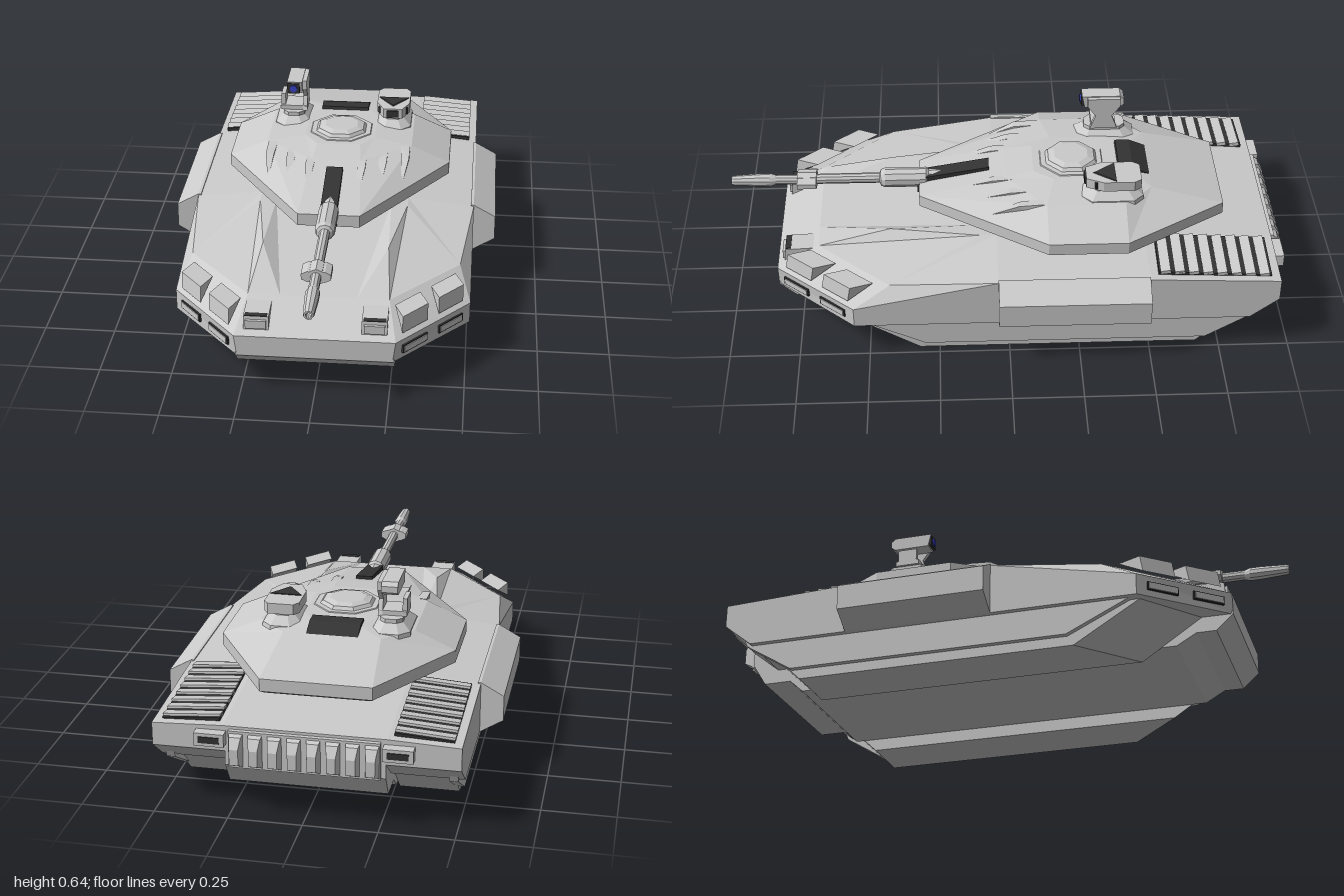
import * as THREE from 'three';
import { ConvexGeometry } from 'three/addons/geometries/ConvexGeometry.js';

const mat = (color) => new THREE.MeshStandardMaterial({ color, flatShading: true, roughness: 0.8 });
const grey = mat(0xcccccc), dark = mat(0x333333), blue = mat(0x3a44cc);

// Skin between stacked rings of [x, y, z], counter-clockwise from above
function loft(rings, notch = false) {
  const v = [];
  const tri = (a, b, c) => v.push(...a, ...b, ...c);
  const quad = (a, b, c, d) => { tri(a, b, c); tri(a, c, d); };
  const n = rings[0].length;
  for (let r = 0; r + 1 < rings.length; r++)
    for (let i = 0; i < n; i++) {
      const j = (i + 1) % n, a = rings[r], b = rings[r + 1];
      if (i >= n / 2) quad(b[i], a[i], a[j], b[j]); // mirrored diagonal
      else quad(a[i], a[j], b[j], b[i]);
    }
  const low = rings[0], top = rings[rings.length - 1];
  for (let i = 0; i < n / 2 - 1; i++) {
    const k = n - 1 - i;
    quad(low[k], low[k - 1], low[i + 1], low[i]);
    if (!notch || i >= 2) quad(top[i], top[i + 1], top[k - 1], top[k]);
  }
  if (notch) {
    tri(top[0], top[1], top[2]);
    tri(top[n - 3], top[n - 2], top[n - 1]);
  }
  const g = new THREE.BufferGeometry();
  g.setAttribute('position', new THREE.Float32BufferAttribute(v, 3));
  g.computeVertexNormals();
  return g;
}
const sym = (half) => [...half, ...half.map(([x, y, z]) => [-x, y, z]).reverse()];
const flip = (ring, s) => (s > 0 ? ring : ring.map(([x, y, z]) => [-x, y, z]).reverse());
const convex = (pts, s = 1) => new ConvexGeometry(pts.map(([x, y, z]) => new THREE.Vector3(x * s, y, z)));
const level = (y, pts) => pts.map(([x, z]) => [x, y, z]);

function add(parent, name, geo, material = grey, pos = [0, 0, 0], rot = [0, 0, 0]) {
  const m = new THREE.Mesh(geo, material);
  m.name = name;
  m.position.set(...pos);
  m.rotation.set(...rot);
  parent.add(m);
  return m;
}
const box = (parent, name, size, pos, material, rot) =>
  add(parent, name, new THREE.BoxGeometry(...size), material, pos, rot);
// Polygon drawn in the z-y plane, extruded across x
function sideProfile(pts, x0, x1) {
  const g = new THREE.ExtrudeGeometry(new THREE.Shape(pts.map(([z, y]) => new THREE.Vector2(-z, y))),
    { depth: x1 - x0, bevelEnabled: false });
  return g.rotateY(Math.PI / 2).translate(x0, 0, 0);
}

function buildHull(root) {
  const hull = new THREE.Group();
  hull.name = 'hull';
  root.add(hull);
  // Upper body with a sunken centre panel on the bow
  add(hull, 'upperHull', loft([
    [[.13, .14, .83], [.26, .14, .83], [.51, .14, .55], [.51, .14, .04], [.51, .14, -.85], [.51, .22, -.95]],
    [[.13, .215, .83], [.27, .215, .83], [.51, .215, .55], [.51, .24, .04], [.51, .24, -.85], [.51, .25, -.95]],
    [[.13, .29, .68], [.24, .29, .68], [.47, .29, .42], [.51, .32, .04], [.51, .32, -.49], [.51, .30, -.95]],
    [[.21, .345, .1], [.22, .345, .42], [.27, .345, .1], [.27, .345, .04], [.27, .345, -.49], [.27, .31, -.95]],
  ].map(sym), true));
  add(hull, 'belly', sideProfile([[.83, .15], [.83, .14], [.77, .085], [.7, .085], [.63, .045], [-.75, .045],
    [-.8, .09], [-.9, .09], [-.95, .17], [-.95, .25], [0, .25]], -.266, .266));

  for (const s of [1, -1]) {
    // Track housing, skirt and side bulge
    add(hull, 'trackHousing', loft([
      [[.47, 0, .32], [.47, 0, -.67], [.265, 0, -.67], [.265, 0, .51]],
      [[.47, .145, .56], [.47, .22, -.9], [.265, .22, -.9], [.265, .145, .73]],
    ].map((r) => flip(r, s))));
    add(hull, 'skirt', sideProfile([[.54, .15], [.3, .035], [-.7, .035], [-.87, .14], [-.91, .23], [0, .23]],
      s > 0 ? .46 : -.49, s > 0 ? .49 : -.46));
    const bulge = [[.5, .14], [.51, .14], [.59, .19], [.59, .28], [.51, .325], [.5, .325]];
    add(hull, 'sideBulge', convex([.04, -.49].flatMap((z) => bulge.map(([x, y]) => [x, y, z])), s));

    // Headlamp housings on the bow
    add(hull, 'headlampHousing', convex([[.155, .22, .805], [.24, .22, .805], [.155, .275, .8], [.24, .275, .8],
      [.155, .28, .7], [.24, .28, .7]], s));
    box(hull, 'headlamp', [.07, .03, .01], [s * .198, .249, .806], grey);
    box(hull, 'headlampVisor', [.075, .004, .02], [s * .198, .276, .79], dark);

    // Lamps and raised wedge panels on the slanted bow edges
    for (const [x, z] of [[.33, .76], [.445, .626]]) {
      box(hull, 'bowLampFrame', [.118, .03, .008], [s * x, .178, z], dark, [0, s * .863, 0]);
      box(hull, 'bowLamp', [.108, .022, .014], [s * x, .178, z], grey, [0, s * .863, 0]);
      const a = x - .04, b = x + .04, za = z + .047, zb = z - .047;
      add(hull, 'bowWedge', convex([[a, .235, za - .01], [b, .235, zb - .01], [a, .292, za - .02],
        [b, .292, zb - .02], [a - .03, .288, za - .1], [b - .03, .288, zb - .1]], s));
    }

    // Engine grille: dark bed under slats
    const grille = new THREE.Group();
    grille.name = 'engineGrille';
    grille.position.set(s * .385, .321, -.72);
    grille.rotation.set(-.065, 0, -s * .075);
    hull.add(grille);
    box(grille, 'grilleBed', [.195, .014, .4], [0, 0, 0], dark);
    for (let i = 0; i < 8; i++)
      box(grille, 'grilleSlat', [.195, .012, .034], [0, .006, -.175 + i * .05], grey, [.2, 0, 0]);
    box(hull, 'rearLamp', [.1, .045, .05], [s * .31, .27, -.96], grey);
    box(hull, 'rearLampLens', [.07, .022, .01], [s * .31, .27, -.983], dark);
  }

  // Ribbed exhaust across the stern
  box(hull, 'exhaustPanel', [.5, .13, .04], [0, .235, -.945], grey);
  for (let i = 0; i < 8; i++) {
    const x = (i - 3.5) * .064;
    add(hull, 'exhaustRib', convex([-1, 1].flatMap((k) => [[x + k * .027, .3, -.945], [x + k * .027, .165, -.945],
      [x + k * .02, .285, -.98], [x + k * .015, .25, -1], [x + k * .015, .195, -1]])));
  }
}

function buildTurret(root) {
  const turret = new THREE.Group();
  turret.name = 'turret';
  root.add(turret);
  const plan = [[.11, .315], [.412, -.14], [.412, -.42], [.19, -.78]];
  add(turret, 'turretShell', loft([
    level(.345, [[.1, .28], [.385, -.14], [.385, -.41], [.18, -.75]]),
    level(.362, plan),
    level(.407, plan),
    level(.47, [[.09, .0], [.27, -.14], [.27, -.42], [.17, -.52]]),
    level(.485, [[.08, -.1], [.13, -.17], [.13, -.36], [.08, -.45]]),
  ].map(sym)));

  for (const s of [1, -1]) {
    // Cheek fins
    for (const [x, z0, z1] of [[.265, -.13, .08], [.185, -.1, .19], [.11, -.04, .24]])
      add(turret, 'cheekFin', convex([[x, .472, z0], [x - .035, .472, z0], [x, .466, z0 + .09],
        [x - .03, .464, z0 + .09], [x - .02, .41, z1], [x, .41, z0]], s));
    // Sight pedestal
    const p = (w, d, c) => [[w - c, d], [w, d - c], [w, c - d], [w - c, -d]];
    const ring = (y, w, d, c) => sym(level(y, p(w, d, c))).map(([x, h, z]) => [x + s * .19, h, z - .375]);
    add(turret, 'sightPedestal', loft([ring(.445, .072, .115, .035), ring(.475, .068, .11, .035),
      ring(.502, .04, .075, .02), ring(.516, .04, .075, .02)]));
  }

  // Commander's hatch and rear vision block
  const eighth = Math.PI / 8;
  const drum = (name, r0, r1, y0, y1) => add(turret, name,
    new THREE.CylinderGeometry(r1, r0, y1 - y0, 8), grey, [0, (y0 + y1) / 2, -.24], [0, eighth, 0]);
  drum('hatchBase', .14, .12, .465, .488);
  drum('hatchCollar', .1, .09, .488, .499);
  drum('hatchLid', .085, .065, .499, .506);
  add(turret, 'visionBlock', convex([-.09, .09].flatMap((x) => [[x, .46, -.4], [x, .496, -.41], [x, .496, -.46],
    [x, .47, -.52], [x, .45, -.52]])), dark);

  // Camera sight in an open yoke
  box(turret, 'yokeBase', [.1, .018, .09], [-.19, .524, -.37]);
  box(turret, 'yokeShortArm', [.016, .06, .07], [-.232, .547, -.37]);
  add(turret, 'yokeTallArm', sideProfile([[-.32, .515], [-.42, .515], [-.4, .57], [-.43, .61], [-.43, .642],
    [-.31, .642], [-.31, .61], [-.34, .57]], -.156, -.14));
  add(turret, 'cameraBody', sideProfile([[-.3, .598], [-.43, .598], [-.445, .61], [-.445, .632], [-.43, .645],
    [-.29, .645]], -.213, -.156));
  box(turret, 'cameraFace', [.046, .04, .01], [-.188, .62, -.292], dark);
  add(turret, 'cameraLens', new THREE.CylinderGeometry(.014, .014, .01, 12), blue, [-.188, .62, -.287],
    [Math.PI / 2, 0, 0]);

  // Wide sight with three windows
  add(turret, 'wideSight', loft([.515, .553].map((y) => sym(level(y, [[.035, -.28], [.062, -.34], [.062, -.45],
    [.045, -.475]])).map(([x, h, z]) => [x + .19, h, z]))));
  add(turret, 'wideSightHood', convex([[.133, .55, -.385], [.247, .55, -.385], [.19, .55, -.3],
    [.135, .556, -.385], [.245, .556, -.385], [.19, .556, -.31]]), dark);
  for (const k of [-1, 0, 1])
    box(turret, 'sightWindow', [k ? .026 : .045, .026, .01], [.19 + k * .042, .534, k ? -.312 : -.279], dark,
      [0, k * .42, 0]);
}

function buildGun(root) {
  const gun = new THREE.Group();
  gun.name = 'gun';
  root.add(gun);
  add(gun, 'gunSlot', convex([-.03, .03].flatMap((x) => [[x, .365, .322], [x, .425, .322], [x, .47, .06],
    [x, .365, .06]])), dark);
  // Barrel turned from root to muzzle
  const profile = [[0, .2], [.028, .2], [.028, .28], [.036, .29], [.036, .44], [.03, .455], [.019, .46], [.018, .84],
    [.024, .86], [.024, .9], [.019, .99], [.016, 1], [.01, 1], [.01, .96], [0, .96]];
  add(gun, 'barrel', new THREE.LatheGeometry(profile.map(([r, z]) => new THREE.Vector2(r, z)), 10), grey,
    [0, .412, 0], [Math.PI / 2, 0, 0]);
  // Collar with side lugs
  add(gun, 'barrelCollar', new THREE.CylinderGeometry(.03, .03, .07, 8), grey, [0, .412, .725],
    [Math.PI / 2, 0, 0]);
  add(gun, 'collarLugs', convex([.69, .76].flatMap((z) => [-1, 1].flatMap((s) => [[s * .05, .403, z],
    [s * .05, .422, z], [s * .03, .432, z], [s * .03, .393, z]]))));
}

export function createModel() {
  const root = new THREE.Group();
  root.name = 'tank';
  buildHull(root);
  buildTurret(root);
  buildGun(root);
  return root;
}
